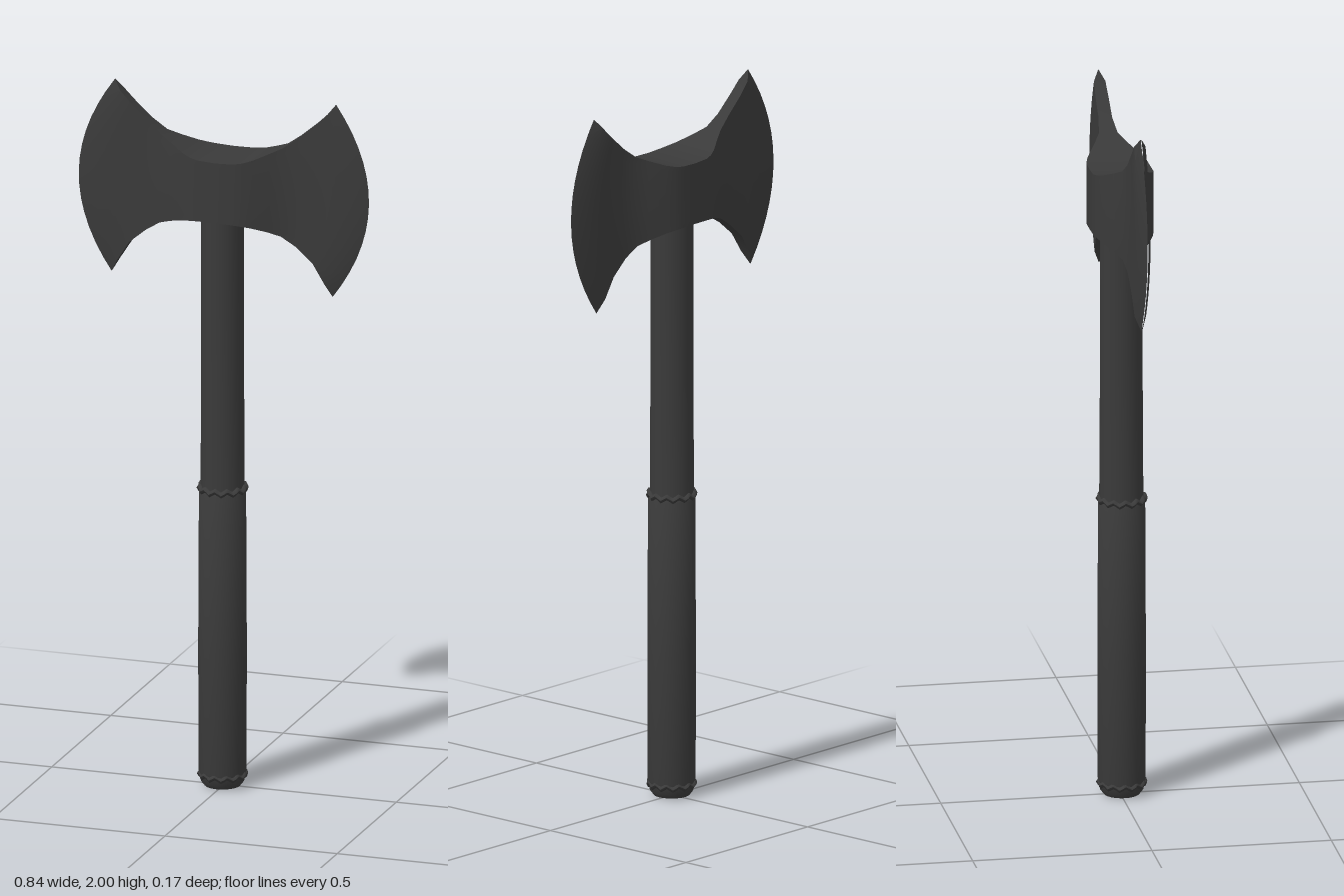
import * as THREE from 'three';
import { toCreasedNormals } from 'three/addons/utils/BufferGeometryUtils.js';

const iron = new THREE.MeshStandardMaterial({ color: 0x3a3a3a });

// Half of the head, centre to edge: [x at the horns, outward bulge, top, bottom, half thickness]
const SECTIONS = [
  [0, 0, 1.812, 1.64, 0.085],
  [0.05, 0, 1.814, 1.639, 0.084],
  [0.075, 0, 1.818, 1.636, 0.078],
  [0.1, 0.003, 1.825, 1.631, 0.067],
  [0.14, 0.007, 1.842, 1.618, 0.044],
  [0.175, 0.01, 1.858, 1.604, 0.026],
  [0.215, 0.02, 1.888, 1.578, 0.019],
  [0.265, 0.045, 1.932, 1.535, 0.018],
  [0.3, 0.072, 1.967, 1.478, 0.016],
  [0.32, 0.1, 1.994, 1.44, 0.001],
];

// Closed double-bitted head lofted through perimeter loops
function headGeometry() {
  const rows = 14;
  const columns = [
    ...SECTIONS.slice(1).reverse().map((s) => [-1, s]),
    ...SECTIONS.map((s) => [1, s]),
  ];
  const pos = [];
  const index = [];
  const ring = 2 * (rows + 1);
  columns.forEach(([side, [x, bulge, top, bottom, depth]], c) => {
    for (let j = 0; j < ring; j++) {
      const front = j <= rows;
      const t = (front ? j : ring - 1 - j) / rows;
      const v = 2 * t - 1;
      pos.push(
        side * (x + bulge * (1 - v * v)),
        bottom + (top - bottom) * t - 1.72,
        front ? depth : -depth
      );
      if (c < columns.length - 1) {
        const a = c * ring + j;
        const d = c * ring + ((j + 1) % ring);
        index.push(a, a + ring, d + ring, a, d + ring, d);
      }
    }
  });
  const geo = new THREE.BufferGeometry();
  geo.setAttribute('position', new THREE.Float32BufferAttribute(pos, 3));
  geo.setIndex(index);
  return toCreasedNormals(geo, 0.4);
}

// Knobbly cord wrapped round the handle
function cordGeometry(radius, thickness) {
  const geo = new THREE.TorusGeometry(radius, thickness, 6, 48);
  geo.rotateX(Math.PI / 2);
  const p = geo.attributes.position;
  for (let i = 0; i < p.count; i++) {
    const a = Math.atan2(p.getZ(i), p.getX(i));
    const k = 1 + 0.025 * Math.sin(a * 12);
    p.setXYZ(i, p.getX(i) * k, p.getY(i) + 0.005 * Math.cos(a * 12), p.getZ(i) * k);
  }
  geo.computeVertexNormals();
  return geo;
}

export function createModel() {
  const group = new THREE.Group();
  const add = (name, geo, x, y, z) => {
    const mesh = new THREE.Mesh(geo, iron);
    mesh.name = name;
    mesh.position.set(x, y, z);
    group.add(mesh);
    return mesh;
  };

  // Axe head, sitting slightly askew on the handle
  const head = add('axeHead', headGeometry(), 0, 1.72, 0);
  head.rotation.set(0, 0.008, -0.018);

  // Upper shaft and thicker grip with a rounded butt
  const lathe = (pts) =>
    toCreasedNormals(new THREE.LatheGeometry(pts.map(([r, y]) => new THREE.Vector2(r, y)), 24), 0.7);
  add('upperShaft', lathe([[0.061, 0.84], [0.059, 1.2], [0.059, 1.7]]), -0.003, 0, 0.003);
  add(
    'grip',
    lathe([[0, 0], [0.05, 0.002], [0.06, 0.015], [0.066, 0.045], [0.067, 0.4], [0.065, 0.845], [0.06, 0.855], [0, 0.855]]),
    -0.003, 0, 0.004
  );

  // Cords at the top and bottom of the grip
  add('gripTopCord', cordGeometry(0.061, 0.009), -0.003, 0.857, 0.004);
  add('gripBottomCord', cordGeometry(0.06, 0.009), -0.003, 0.035, 0.004);

  return group;
}
